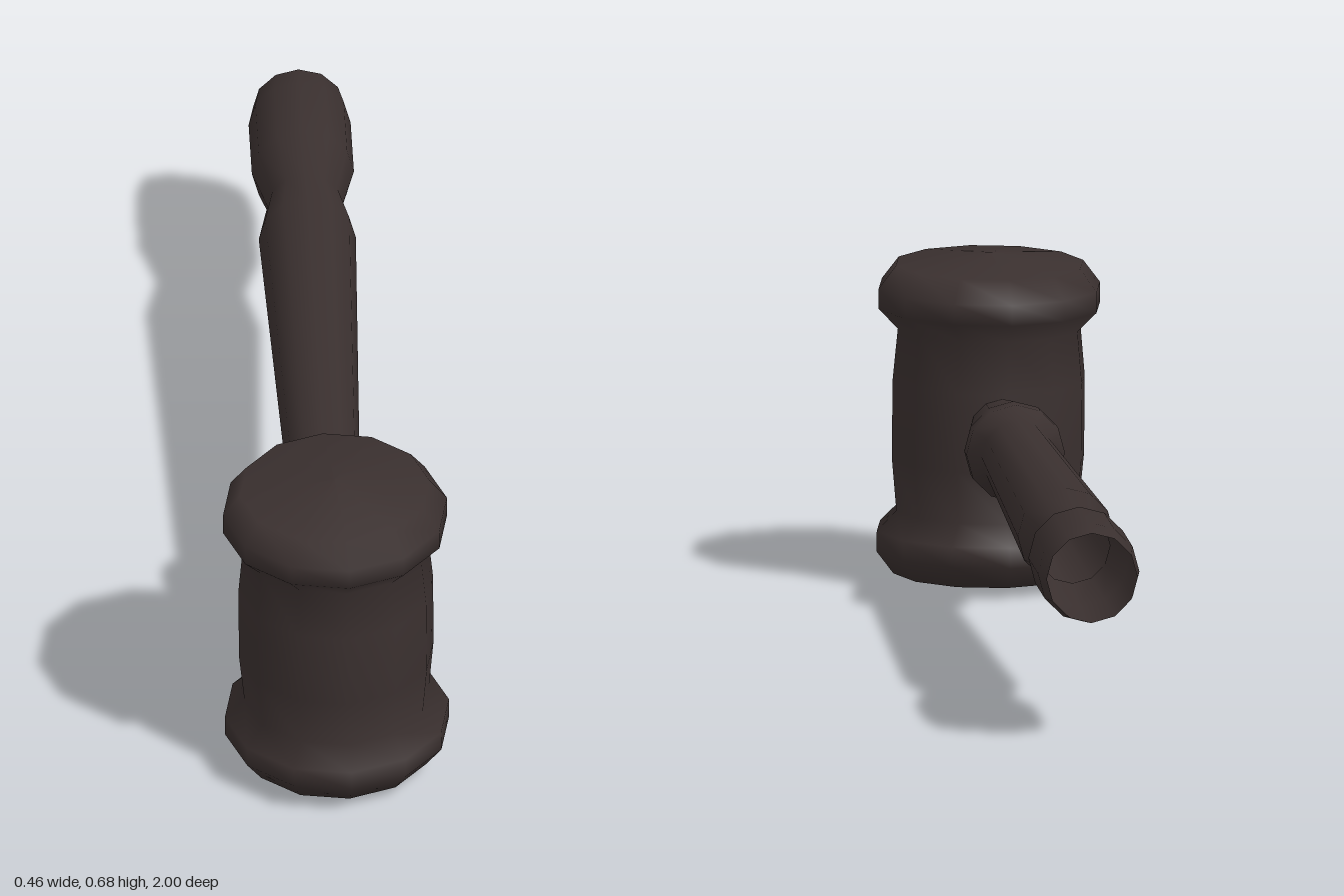
import * as THREE from 'three';

const SIDES = 12;

// Smooth turned part from [radius, height] pairs listed from bottom to top
function turned(name, profile, material, phiStart) {
  const points = profile.map(([r, h]) => new THREE.Vector2(r, h));
  const mesh = new THREE.Mesh(new THREE.LatheGeometry(points, SIDES, phiStart), material);
  mesh.name = name;
  return mesh;
}

export function createModel() {
  const model = new THREE.Group();
  model.name = 'gavel';

  const darkWood = new THREE.MeshStandardMaterial({ color: 0x3a302f, side: THREE.DoubleSide });
  darkWood.name = 'darkWood';

  // Head: barrel with a flared rim and a shallow cone at both ends
  const half = [
    [0.198, 0.08], [0.188, 0.187], [0.228, 0.228],
    [0.228, 0.27], [0.193, 0.316], [0, 0.338],
  ];
  const lower = half.map(([r, h]) => [r, -h]).reverse();
  const head = turned('head', [...lower, ...half], darkWood, 0.09);
  head.position.set(0, 0.338, 0.773);
  head.rotation.z = 0.008;
  model.add(head);

  // Handle: runs back from the head, open at the far end
  const handle = turned('handle', [
    [0.092, -1], [0.103, -0.94], [0.103, -0.77], [0.076, -0.655],
    [0.098, -0.54], [0.073, 0.32], [0.1, 0.35], [0.1, 0.39],
    [0.068, 0.58], [0.06, 0.65],
  ], darkWood, 0);
  handle.rotation.x = Math.PI / 2;
  handle.position.set(-0.007, 0.342, 0);
  model.add(handle);

  return model;
}
